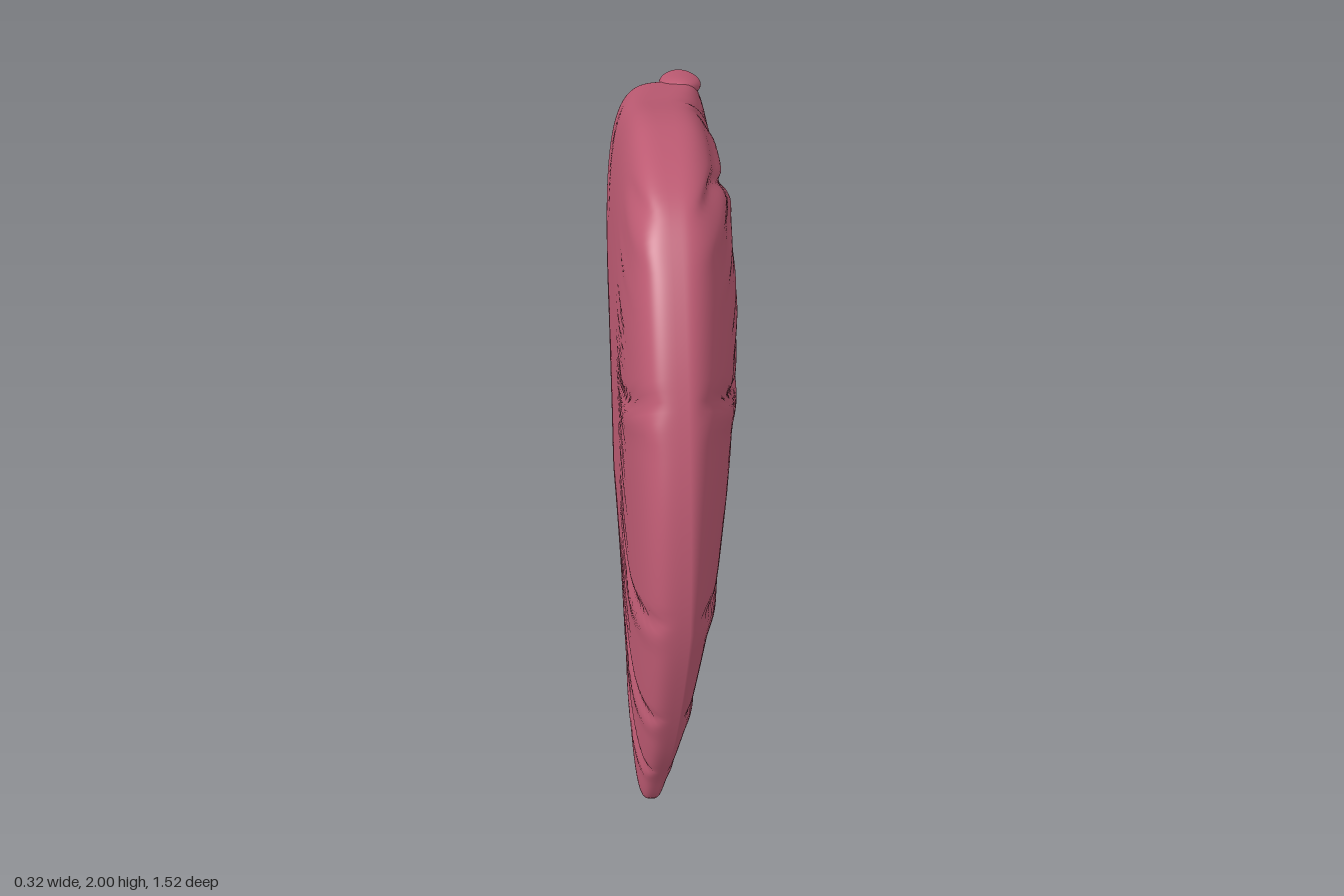
import * as THREE from 'three';

const { clamp, lerp, smoothstep } = THREE.MathUtils;

// Piecewise lookup through [position, value] pairs, eased between neighbours
function table(pairs, t) {
  if (t <= pairs[0][0]) return pairs[0][1];
  for (let i = 1; i < pairs.length; i++) {
    const [t0, v0] = pairs[i - 1], [t1, v1] = pairs[i];
    if (t <= t1) return lerp(v0, v1, (t - t0) / (t1 - t0));
  }
  return pairs[pairs.length - 1][1];
}

// Side silhouette as [z, y], running bottom, back, top, front
const OUTLINE = [
  [0.38, 0.003], [0.31, 0.03], [0.22, 0.1], [0, 0.275], [-0.29, 0.385], [-0.45, 0.415], [-0.565, 0.432],
  [-0.595, 0.47], [-0.603, 0.62], [-0.607, 0.8], [-0.65, 1.08], [-0.7, 1.34], [-0.752, 1.53], [-0.752, 1.63],
  [-0.715, 1.75], [-0.67, 1.81], [-0.6, 1.835], [-0.34, 1.905], [-0.07, 1.985], [0.06, 2], [0.25, 1.975],
  [0.38, 1.91], [0.56, 1.69], [0.69, 1.42], [0.75, 1.18], [0.76, 0.98], [0.72, 0.73], [0.64, 0.47],
  [0.53, 0.23], [0.455, 0.07],
];
const CENTRE = { z: 0, y: 1.08 };

// Outer face and rim positions by height
const OUTER = [[0, -0.045], [0.3, 0.005], [0.6, 0.055], [0.9, 0.105], [1.2, 0.135], [1.6, 0.157]];
const RIM = [[0, -0.1], [0.5, -0.055], [1, -0.025], [2, -0.015]];
const INNER_X = -0.16;

// Main growth grooves, each a [z, y] line from back to front
const GROOVES = [
  [[-0.52, 0.92], [-0.47, 1.12], [-0.4, 1.26], [-0.3, 1.34], [-0.1, 1.38], [0.25, 1.4], [0.42, 1.47], [0.6, 1.58]],
  [[-0.4, 0.66], [-0.33, 0.76], [-0.2, 0.86], [0, 0.91], [0.3, 0.92], [0.5, 0.94], [0.76, 1.04]],
  [[-0.35, 0.47], [-0.25, 0.55], [-0.12, 0.61], [0.1, 0.615], [0.5, 0.59], [0.72, 0.65]],
  [[-0.5, 0.43], [-0.3, 0.47], [0, 0.45], [0.3, 0.37], [0.54, 0.3]],
  [[-0.62, 1.45], [-0.5, 1.58], [-0.3, 1.68], [-0.1, 1.78], [0.2, 1.93]],
];

// Depth of grooves and fine wrinkles at a point of the face
function relief(z, y) {
  let d = 0;
  for (const g of GROOVES) {
    const dy = y - table(g, z);
    const along = smoothstep(z, g[0][0] - 0.03, g[0][0] + 0.2);
    d += along * (0.013 * Math.exp(-((dy / 0.018) ** 2)) - 0.007 * Math.exp(-(((dy + 0.055) / 0.035) ** 2)));
  }
  const bend = z < 0 ? 1.5 * z * z : 0.12 * z * z;
  const u = y + bend;
  const middle = smoothstep(z, -0.52, -0.25) * (1 - smoothstep(z, 0.1, 0.5)) * smoothstep(y, 0.35, 0.55);
  return d + middle * 0.0035 * (Math.sin(u * 62 + 1.5 * Math.sin(z * 5)) + 0.5 * Math.sin(u * 105 + z * 3));
}

// One closed skin: inner face centre, over the rim, to outer face centre
function bodyGeometry(rings = 86, columns = 230) {
  const curve = new THREE.CatmullRomCurve3(OUTLINE.map(([z, y]) => new THREE.Vector3(0, y, z)), true, 'centripetal');
  const rim = curve.getSpacedPoints(columns);
  const positions = [], indices = [];
  for (let i = -rings; i <= rings; i++) {
    const side = Math.sign(i);
    const s = 1 - (Math.abs(i) / rings) ** 2;
    for (let j = 0; j < columns; j++) {
      const p = rim[j];
      const z = lerp(CENTRE.z, p.z, s), y = lerp(CENTRE.y, p.y, s);
      const front = clamp(p.z / 0.76, -1, 1);
      const upperBack = smoothstep(-p.z, 0.3, 0.7) * smoothstep(p.y, 0.9, 1.6);
      const edgeX = table(RIM, p.y) + 0.08 * upperBack;
      const power = side < 0 ? 4.2 : lerp(5, 1.8, (front + 1) / 2);
      const h = (1 - s ** power) ** (1 / power);
      const faceX = side < 0 ? INNER_X : table(OUTER, y);
      let x = lerp(edgeX, faceX, h);
      const cut = relief(z, y) * smoothstep(h, 0, 0.6);
      x -= side * cut * (side < 0 ? 0.7 * smoothstep(z, 0.1, 0.45) : 1);
      positions.push(Math.max(x, INNER_X), y, z);
    }
  }
  for (let i = 0; i < 2 * rings; i++) {
    for (let j = 0; j < columns; j++) {
      const k = (j + 1) % columns;
      const a = i * columns + j, b = i * columns + k, c = a + columns, d = b + columns;
      if (i > 0) indices.push(a, b, c);
      if (i < 2 * rings - 1) indices.push(b, d, c);
      if (i === 0) indices.push(a, b, c);
      if (i === 2 * rings - 1) indices.push(b, d, c);
    }
  }
  const geometry = new THREE.BufferGeometry();
  geometry.setAttribute('position', new THREE.Float32BufferAttribute(positions, 3));
  geometry.setIndex(indices);
  geometry.computeVertexNormals();
  return geometry;
}

export function createModel() {
  const group = new THREE.Group();
  group.name = 'curvedPlate';
  const rose = new THREE.MeshStandardMaterial({ color: 0xbc5a72 });
  rose.name = 'rose';

  const body = new THREE.Mesh(bodyGeometry(), rose);
  body.name = 'body';
  group.add(body);

  // Small lip curling out of the upper back corner
  const lipGeometry = new THREE.SphereGeometry(1, 28, 20);
  const pos = lipGeometry.attributes.position;
  for (let i = 0; i < pos.count; i++) {
    const t = pos.getZ(i);
    const thin = lerp(0.55, 1, (t + 1) / 2);
    pos.setXYZ(i, pos.getX(i) * 0.06, pos.getY(i) * 0.035 * thin + 0.012 * t * t - 0.008, t * 0.085);
  }
  lipGeometry.computeVertexNormals();
  const lip = new THREE.Mesh(lipGeometry, rose);
  lip.name = 'lip';
  lip.position.set(0.075, 1.818, -0.655);
  lip.rotation.x = -0.1;
  group.add(lip);

  return group;
}
